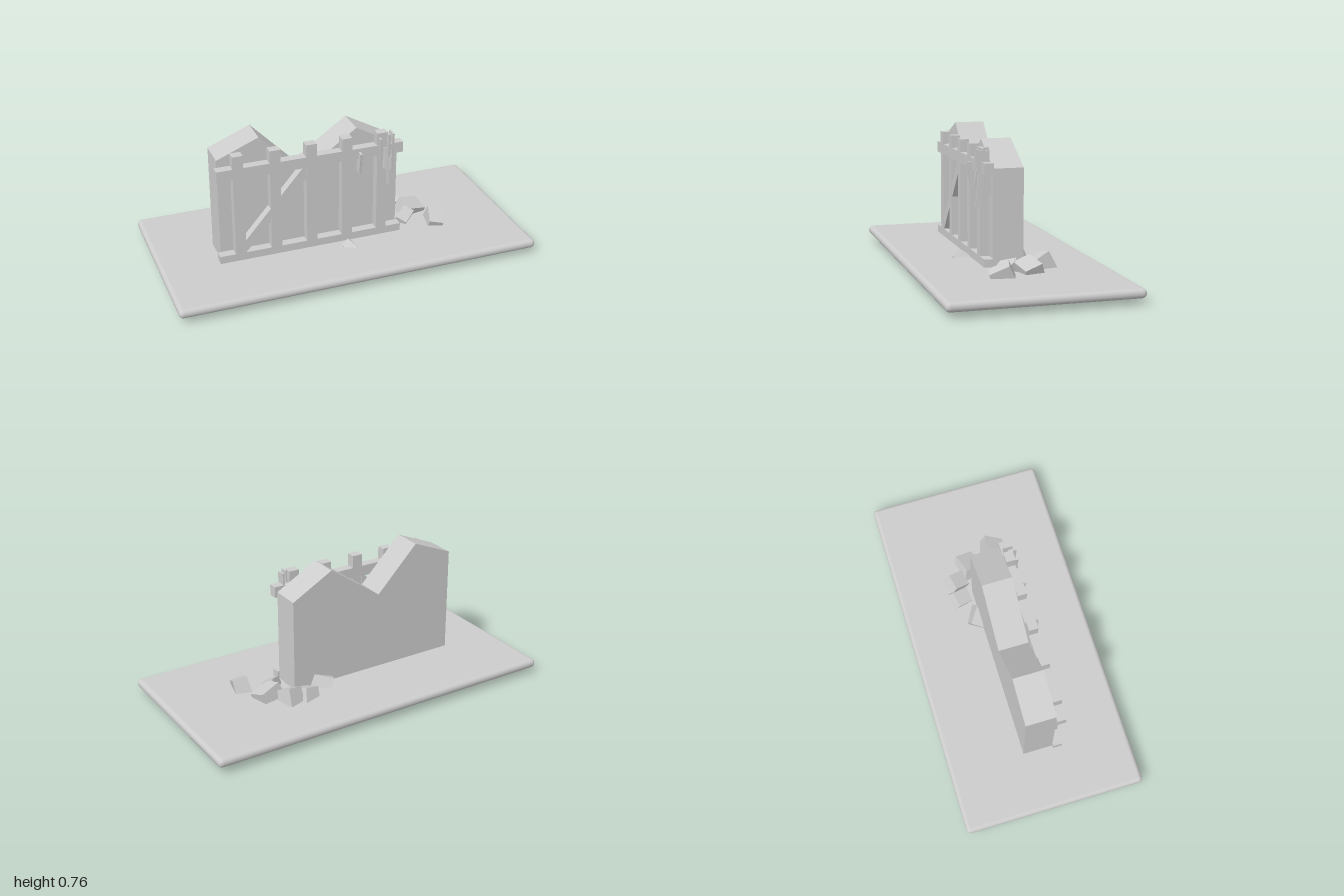
import * as THREE from 'three';
import { RoundedBoxGeometry } from 'three/addons/geometries/RoundedBoxGeometry.js';

export function createModel() {
  const model = new THREE.Group();
  model.name = 'ruinedWall';
  const stone = new THREE.MeshStandardMaterial({ color: 0xcccccc });
  stone.name = 'plain grey';

  const add = (name, geometry, x = 0, y = 0, z = 0) => {
    const mesh = new THREE.Mesh(geometry, stone);
    mesh.name = name;
    mesh.position.set(x, y, z);
    model.add(mesh);
    return mesh;
  };
  // Box given by its limits on each axis
  const span = (name, x0, x1, y0, y1, z0, z1) =>
    add(name, new THREE.BoxGeometry(x1 - x0, y1 - y0, z1 - z0),
      (x0 + x1) / 2, (y0 + y1) / 2, (z0 + z1) / 2);
  // Outline in x and y, extruded along z
  const slab = (name, points, z0, z1) => {
    const shape = new THREE.Shape(points.map(([x, y]) => new THREE.Vector2(x, y)));
    return add(name, new THREE.ExtrudeGeometry(shape, { depth: z1 - z0, bevelEnabled: false }), 0, 0, z0);
  };

  // Ground slab with softly rounded edges
  add('ground', new RoundedBoxGeometry(2, 0.05, 1, 3, 0.024), 0, 0.06, 0);

  // Broken wall with a jagged top
  slab('wall', [[-0.67, 0.06], [0.335, 0.06], [0.335, 0.6], [0.1, 0.73],
    [-0.2, 0.52], [-0.44, 0.765], [-0.67, 0.67]], -0.082, 0.083);

  // Timber frame on the front
  span('topRail', -0.685, 0.35, 0.57, 0.63, 0.083, 0.133);
  span('bottomRail', -0.685, 0.345, 0.07, 0.128, 0.083, 0.133);
  for (let i = 0; i < 5; i++) {
    const x = -0.57 + i * 0.2;
    span('post', x - 0.029, x + 0.029, 0.08, 0.7, 0.083, 0.133);
  }
  slab('brace', [[-0.54, 0.128], [-0.2, 0.508], [-0.2, 0.575], [-0.215, 0.575], [-0.54, 0.2]], 0.083, 0.13);

  // Splintered slats: x, y, z, height, depth, tilt about x, tilt about z
  [
    [0.1, 0.55, 0.13, 0.12, 0.045, 0.15, 0],
    [0.218, 0.6, 0.123, 0.15, 0.05, 0.06, 0.06],
    [0.24, 0.555, 0.132, 0.12, 0.04, -0.15, -0.05],
    [0.258, 0.48, 0.132, 0.17, 0.035, -0.1, 0.03],
    [0.29, 0.575, 0.112, 0.23, 0.05, 0.05, 0],
    [0.262, 0.63, 0.13, 0.13, 0.045, 0.06, 0],
  ].forEach(([x, y, z, h, d, rx, rz]) => {
    add('splinter', new THREE.BoxGeometry(0.011, h, d), x, y, z).rotation.set(rx, 0, rz);
  });

  // Rubble: x, z, width, depth, bottom, top, turn, tilt about x, tilt about z
  [
    [0.31, -0.165, 0.1, 0.1, 0.03, 0.15, 0.3, 0.35, 0.3],
    [0.405, -0.16, 0.1, 0.1, 0.02, 0.172, 0.32, 0.4, 0.2],
    [0.487, -0.063, 0.14, 0.11, 0.005, 0.165, 0.2, 0.3, -0.25],
    [0.415, 0.015, 0.12, 0.07, 0.01, 0.15, 0.85, 0.4, 0.3],
    [0.565, 0.1, 0.09, 0.12, 0.003, 0.165, -0.3, 0.4, -0.2],
    [0.17, -0.09, 0.12, 0.1, 0.02, 0.15, -0.5, 0.4, 0.25],
    [0.035, 0.172, 0.06, 0.08, 0.01, 0.12, 0.6, 0.5, 0.75],
  ].forEach(([x, z, w, d, y0, y1, turn, rx, rz]) => {
    const g = new THREE.BoxGeometry(w, 0.1, d);
    const p = g.attributes.position;
    // Narrow the top a little so each block looks chipped
    for (let i = 0; i < p.count; i++) {
      if (p.getY(i) > 0) p.setXYZ(i, p.getX(i) * 0.88, p.getY(i), p.getZ(i) * 0.92);
    }
    g.rotateZ(rz).rotateX(rx).rotateY(turn);
    // Stretch the turned block to its height range
    g.computeBoundingBox();
    const { min, max } = g.boundingBox;
    const k = (y1 - y0) / (max.y - min.y);
    g.translate(0, -min.y, 0).scale(1, k, 1);
    add('rubble', g, x, y0, z);
  });

  // Rest the lowest block on the floor
  const low = new THREE.Box3().setFromObject(model).min.y;
  model.children.forEach((part) => { part.position.y -= low; });
  return model;
}
